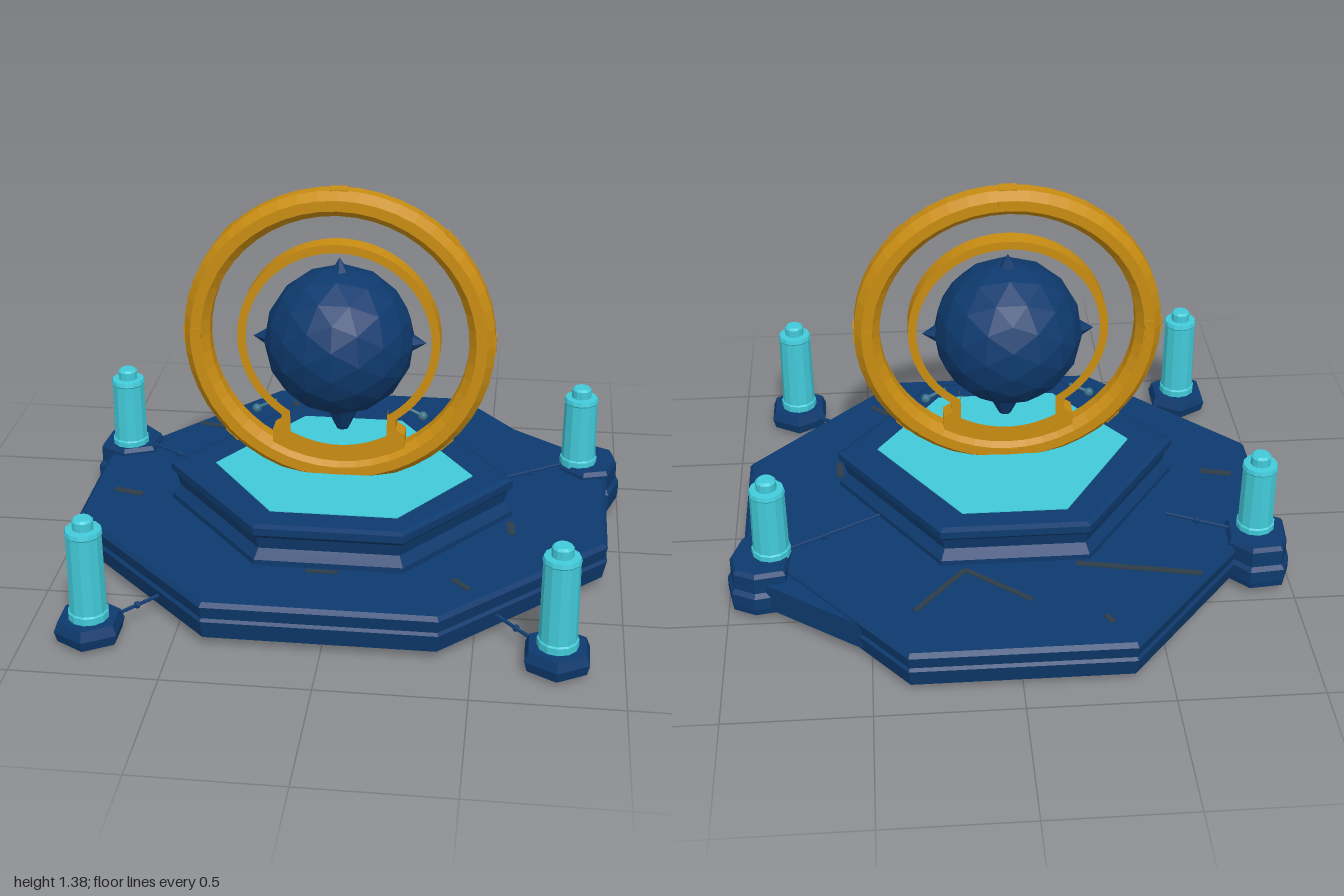
import * as THREE from 'three';

const flat = (name, color, extra = {}) => {
  const m = new THREE.MeshStandardMaterial({ color, flatShading: true, ...extra });
  m.name = name;
  return m;
};

// Solid from an [x, z] outline (clockwise from above) and levels of [y, scale]
function loft(outline, levels, cx = 0, cz = 0) {
  const pos = [];
  const rings = levels.map(([y, s]) =>
    outline.map(([x, z]) => [cx + (x - cx) * s, y, cz + (z - cz) * s]));
  const n = outline.length;
  const top = rings[rings.length - 1], bottom = rings[0];
  for (let i = 0; i < n; i++) {
    const j = (i + 1) % n;
    for (let k = 0; k < rings.length - 1; k++) {
      const a = rings[k][i], b = rings[k][j], c = rings[k + 1][j], d = rings[k + 1][i];
      pos.push(...a, ...c, ...b, ...a, ...d, ...c);
    }
    pos.push(cx, top[0][1], cz, ...top[j], ...top[i]);
    pos.push(cx, bottom[0][1], cz, ...bottom[i], ...bottom[j]);
  }
  const g = new THREE.BufferGeometry();
  g.setAttribute('position', new THREE.Float32BufferAttribute(pos, 3));
  g.computeVertexNormals();
  return g;
}

export function createModel() {
  const root = new THREE.Group();
  root.name = 'ringedOrbPlatform';
  const navy = flat('navy', 0x0e3a6e);
  const gold = flat('gold', 0xc98d12);
  const cyan = flat('cyan', 0x42cad9);
  const slate = flat('slate', 0x2c3c47);
  const teal = flat('dullTeal', 0x3a7388);

  const add = (name, geo, mat, parent = root, x = 0, y = 0, z = 0) => {
    const m = new THREE.Mesh(geo, mat);
    m.name = name;
    m.position.set(x, y, z);
    parent.add(m);
    return m;
  };
  const rod = (name, a, b, r, mat, parent = root) => {
    const p = new THREE.Vector3(...a), q = new THREE.Vector3(...b);
    const m = add(name, new THREE.CylinderGeometry(r, r, p.distanceTo(q), 6), mat, parent);
    m.position.copy(p).lerp(q, 0.5);
    m.quaternion.setFromUnitVectors(new THREE.Vector3(0, 1, 0), q.sub(p).normalize());
    return m;
  };

  // Octagonal base slab
  const octagon = [[-0.38, -0.91], [0.38, -0.91], [0.945, -0.23], [0.945, 0.25],
    [0.39, 0.8], [-0.4, 0.8], [-0.95, 0.25], [-0.95, -0.23]];
  add('baseSlab', loft(octagon, [[0.035, 0.985], [0.1, 1], [0.11, 0.99], [0.155, 1], [0.17, 0.985]]), navy);

  // Hexagonal plinth with waisted sides and a bright top
  const hexagon = [[-0.635, 0.08], [-0.27, -0.44], [0.25, -0.44], [0.605, 0.08], [0.25, 0.53], [-0.26, 0.53]];
  add('plinth', loft(hexagon, [[0.165, 1], [0.19, 1], [0.225, 0.95], [0.27, 0.97], [0.285, 1],
    [0.312, 1], [0.32, 0.96]], -0.015, 0.06), navy);
  const inset = [[-0.47, 0.08], [-0.2, -0.345], [0.17, -0.345], [0.46, 0.08], [0.22, 0.42], [-0.22, 0.42]];
  add('plinthInset', loft(inset, [[0.317, 1], [0.323, 1]]), cyan);

  // Cracks and scuffs on the slab
  const crack = (x1, z1, x2, z2, w) => {
    const g = new THREE.BoxGeometry(Math.hypot(x2 - x1, z2 - z1), 0.004, w);
    add('crack', g, slate, root, (x1 + x2) / 2, 0.171, (z1 + z2) / 2)
      .rotation.y = -Math.atan2(z2 - z1, x2 - x1);
  };
  [[-0.65, -0.55, -0.22, -0.46, 0.025], [0.35, -0.68, 0.17, -0.47, 0.02],
    [-0.05, -0.65, 0.17, -0.47, 0.02], [-0.31, -0.79, -0.29, -0.75, 0.02],
    [-0.86, 0.04, -0.75, 0.07, 0.03], [0.42, 0.55, 0.48, 0.61, 0.02],
    [0.6, 0.13, 0.61, 0.22, 0.025], [-0.08, 0.55, 0.03, 0.55, 0.02]].forEach(c => crack(...c));

  // Upright ring assembly
  const rings = new THREE.Group();
  rings.name = 'ringAssembly';
  rings.position.set(-0.02, 0.83, 0.067);
  root.add(rings);
  const section = [];
  for (let i = 0; i <= 8; i++) {
    const a = (i + 0.5) * Math.PI / 4;
    section.push(new THREE.Vector2(0.5 + 0.049 * Math.cos(a), 0.06 * Math.sin(a)));
  }
  add('outerRing', new THREE.LatheGeometry(section, 48).rotateX(Math.PI / 2), gold, rings);

  // Raised plates around the outer ring
  for (let i = 0; i < 8; i++) {
    const holder = new THREE.Group();
    holder.name = 'ringClasp';
    holder.rotation.z = i * Math.PI / 4;
    rings.add(holder);
    add('claspFace', new THREE.BoxGeometry(0.036, 0.07, 0.116), gold, holder, 0.5);
    add('claspRim', new THREE.BoxGeometry(0.008, 0.06, 0.05), gold, holder, 0.543);
  }

  // Inner ring, open below, standing on a curved cradle
  const band = new THREE.Shape();
  const e = -55 * Math.PI / 180;
  band.moveTo(-0.235, -0.43);
  band.lineTo(-0.235, -0.35);
  band.lineTo(-0.204, -0.33);
  band.absarc(0, 0, 0.355, Math.PI - e, e, true);
  band.lineTo(0.204, -0.33);
  band.lineTo(0.235, -0.35);
  band.lineTo(0.235, -0.43);
  band.quadraticCurveTo(0, -0.55, -0.235, -0.43);
  const opening = new THREE.Path();
  const f = -58 * Math.PI / 180;
  opening.moveTo(-0.172, -0.355);
  opening.lineTo(-0.172, -0.33);
  opening.absarc(0, 0, 0.325, Math.PI - f, f, true);
  opening.lineTo(0.172, -0.355);
  opening.quadraticCurveTo(0, -0.445, -0.172, -0.355);
  band.holes.push(opening);
  add('innerRingAndCradle', new THREE.ExtrudeGeometry(band, { depth: 0.07, bevelEnabled: false, curveSegments: 40 })
    .translate(0, 0, -0.035), gold, rings);

  // Little knobs on the ring ends
  for (const s of [-1, 1]) {
    rod('knobStalk', [s * 0.225, -0.25, 0], [s * 0.295, -0.285, 0], 0.006, teal, rings);
    add('knob', new THREE.IcosahedronGeometry(0.017, 1), teal, rings, s * 0.297, -0.287);
  }

  // Faceted orb with four points
  const orb = new THREE.Group();
  orb.name = 'orb';
  orb.position.set(-0.02, 0.82, 0.058);
  root.add(orb);
  add('orbBody', new THREE.IcosahedronGeometry(0.264, 2), navy, orb);
  for (let i = 0; i < 3; i++) {
    const a = i * Math.PI / 2;
    add('orbSpike', new THREE.ConeGeometry(0.055, 0.09, 6), navy, orb, 0.26 * Math.cos(a), 0.26 * Math.sin(a))
      .rotation.z = a - Math.PI / 2;
  }
  add('orbTail', new THREE.CylinderGeometry(0.08, 0.022, 0.12, 7), navy, orb, 0.01, -0.28);

  // Pillars
  const pillar = (name, x, z, y0, y1) => {
    const v = (r, y) => new THREE.Vector2(r, y);
    const prof = [v(0, y0), v(0.069, y0), v(0.069, y0 + 0.03), v(0.064, y0 + 0.035), v(0.061, y1 - 0.06),
      v(0.064, y1 - 0.055), v(0.06, y1 - 0.04), v(0.036, y1 - 0.038), v(0.036, y1 - 0.008), v(0.028, y1), v(0, y1)];
    add(name, new THREE.LatheGeometry(prof, 12), cyan, root, x, 0, z);
  };
  // Free-standing front pillars on hexagonal feet, tied to the slab by cables
  for (const s of [-1, 1]) {
    const x = s * 0.777, z = 0.785;
    pillar('frontPillar', x, z, 0.085, 0.46);
    add('frontFoot', new THREE.CylinderGeometry(0.108, 0.122, 0.035, 6), navy, root, x, 0.0725, z);
    add('frontFootBase', new THREE.CylinderGeometry(0.122, 0.112, 0.037, 6), navy, root, x, 0.0365, z);
    add('footPad', new THREE.CylinderGeometry(0.045, 0.04, 0.02, 8), teal, root, x, 0.01, z);
    rod('frontCable', [s * 0.7, 0.06, 0.72], [s * 0.57, 0.08, 0.61], 0.007, navy);
    add('cableBead', new THREE.IcosahedronGeometry(0.014, 0), navy, root, s * 0.64, 0.07, 0.67);
  }

  // Back pillars on blocks at the slab edge
  const leftBlock = [[0.78, -0.48], [0.9, -0.5], [0.98, -0.46], [1, -0.36], [0.96, -0.24], [0.86, -0.21], [0.76, -0.3]];
  const rightBlock = [[-0.96, -0.47], [-0.84, -0.48], [-0.76, -0.4], [-0.77, -0.26], [-0.89, -0.21], [-1, -0.27], [-0.99, -0.4]];
  const steps = [[0.035, 0.97], [0.06, 1], [0.105, 1], [0.12, 0.9], [0.18, 0.9], [0.195, 0.82]];
  add('leftBackBlock', loft(leftBlock, steps, 0.88, -0.36), navy);
  add('rightBackBlock', loft(rightBlock, steps, -0.88, -0.35), navy);
  add('blockBrace', loft([[0.53, -0.72], [0.86, -0.48], [0.8, -0.38], [0.6, -0.5]], [[0.05, 1], [0.15, 1]]), navy);
  pillar('leftBackPillar', 0.842, -0.34, 0.185, 0.5);
  pillar('rightBackPillar', -0.88, -0.315, 0.185, 0.5);
  rod('leftBackCable', [0.78, 0.185, -0.32], [0.46, 0.176, -0.13], 0.007, navy);
  rod('rightBackCable', [-0.8, 0.185, -0.32], [-0.58, 0.176, -0.2], 0.007, navy);
  add('cableBead', new THREE.IcosahedronGeometry(0.014, 0), navy, root, 0.66, 0.18, -0.25);
  add('cableBead', new THREE.IcosahedronGeometry(0.014, 0), navy, root, -0.68, 0.18, -0.255);
  return root;
}
